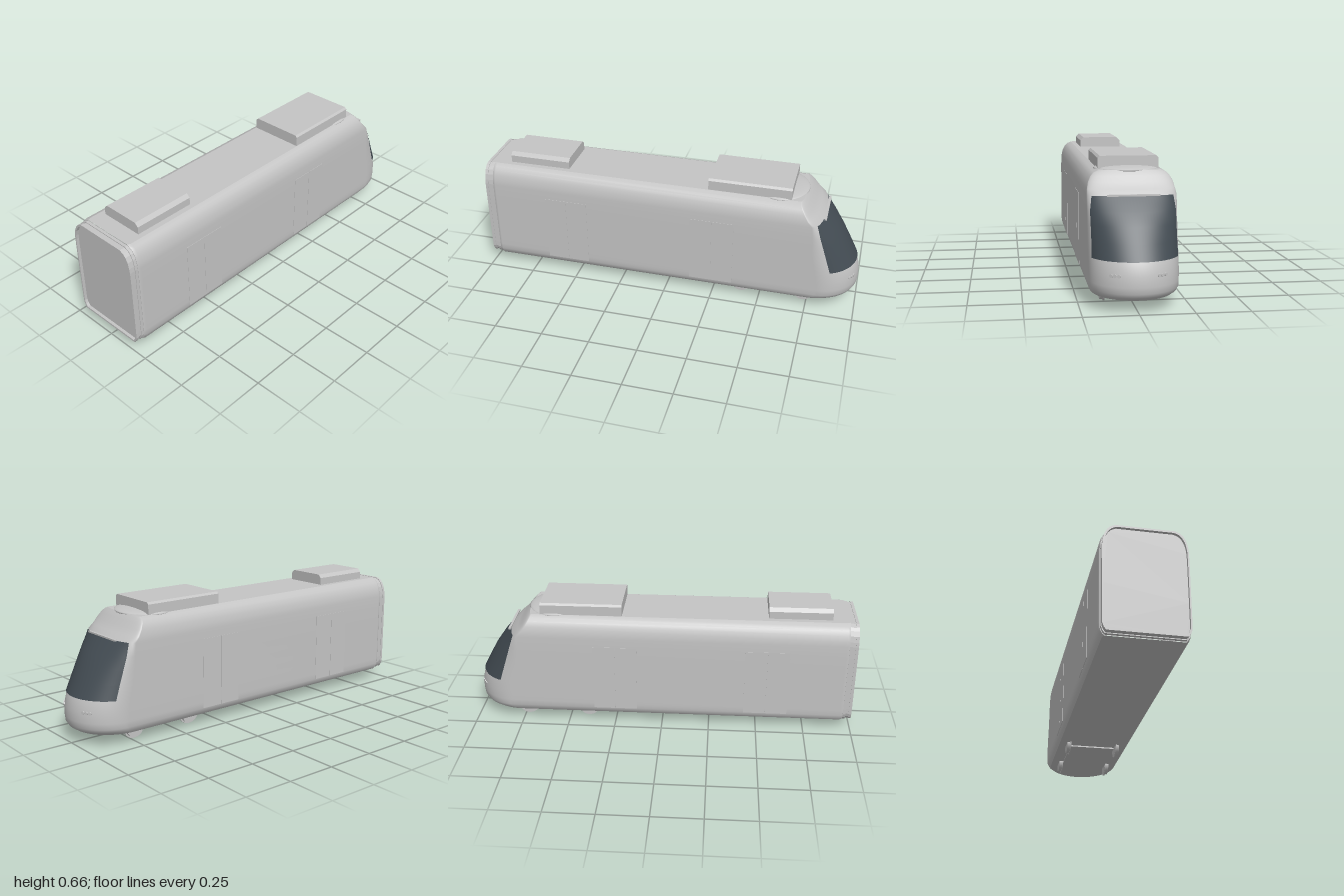
import * as THREE from 'three';

const paint = new THREE.MeshStandardMaterial({ color: 0xc4c4c4 });
paint.name = 'greyPaint';
const glass = new THREE.MeshStandardMaterial({ color: 0x434c53 });
glass.name = 'darkGlass';

// Horizontal sections of the shell: height, half width, nose reach, depth of nose curve
const ROWS = [
  [0.055, 0.188, 0.962, 0.2], [0.07, 0.199, 0.985, 0.2], [0.09, 0.206, 0.997, 0.2],
  [0.12, 0.207, 1.0, 0.2], [0.17, 0.207, 0.998, 0.2], [0.23, 0.207, 0.982, 0.195],
  [0.3, 0.207, 0.945, 0.175], [0.37, 0.207, 0.905, 0.145], [0.43, 0.207, 0.862, 0.105],
  [0.495, 0.206, 0.805, 0.055], [0.52, 0.203, 0.772, 0.045], [0.55, 0.196, 0.744, 0.035],
  [0.575, 0.183, 0.724, 0.03], [0.59, 0.168, 0.71, 0.025], [0.6, 0.145, 0.7, 0.02],
];
const BACK = 0.955;

// Point on the nose at a section and angle, pushed outwards by off
function nosePoint([y, w, reach, depth], a, off = 0) {
  return [(w + off) * Math.sin(a), y, depth - reach - (depth + off) * Math.cos(a)];
}

// Smooth sheet through a grid of points
function sheet(rows, cols, point) {
  const pos = [], idx = [];
  for (let j = 0; j <= rows; j++)
    for (let i = 0; i <= cols; i++) pos.push(...point(i, j));
  for (let j = 0; j < rows; j++)
    for (let i = 0; i < cols; i++) {
      const a = j * (cols + 1) + i, b = a + cols + 1;
      idx.push(a, a + 1, b, a + 1, b + 1, b);
    }
  return finish(pos, idx);
}

function finish(pos, idx) {
  const g = new THREE.BufferGeometry();
  g.setAttribute('position', new THREE.Float32BufferAttribute(pos, 3));
  g.setIndex(idx);
  g.computeVertexNormals();
  return g;
}

const N = 40;
// Outline running from the left rear, round the nose, to the right rear
function outlinePoint(row, i) {
  if (i === 0 || i === N + 4) return [(i ? -1 : 1) * (row[1] - 0.008), row[0], BACK];
  if (i === 1 || i === N + 3) return [(i > 1 ? -1 : 1) * row[1], row[0], 0.94];
  return nosePoint(row, Math.PI / 2 - ((i - 2) / N) * Math.PI);
}

// Flat cap over one outline
function cap(row, up) {
  const pos = [0, row[0], 0], idx = [], n = N + 5;
  for (let i = 0; i < n; i++) {
    pos.push(...outlinePoint(row, i));
    const a = i + 1, b = ((i + 1) % n) + 1;
    idx.push(0, up ? a : b, up ? b : a);
  }
  return finish(pos, idx);
}

// Rear cross-section, shrunk by s about its middle
function sectionPoints(s) {
  const mid = 0.328;
  const right = ROWS.map(([y, w]) => new THREE.Vector2((w - 0.004) * s, mid + (y - mid) * s));
  const left = right.map((p) => new THREE.Vector2(-p.x, p.y)).reverse();
  return [...right, ...left];
}

// Roof box with chamfered long edges
function roofUnit(halfWidth, y0, y1, z0, z1, c) {
  const s = new THREE.Shape([
    [-halfWidth, y0], [halfWidth, y0], [halfWidth, y1 - c],
    [halfWidth - c, y1], [c - halfWidth, y1], [-halfWidth, y1 - c],
  ].map(([x, y]) => new THREE.Vector2(x, y)));
  return new THREE.ExtrudeGeometry(s, { depth: z1 - z0, bevelEnabled: false }).translate(0, 0, z0);
}

export function createModel() {
  const model = new THREE.Group();
  model.name = 'tramCar';
  const add = (name, geo, mat = paint, x = 0, y = 0, z = 0) => {
    const m = new THREE.Mesh(geo, mat);
    m.name = name;
    m.position.set(x, y, z);
    model.add(m);
    return m;
  };

  // Shell
  add('bodyShell', sheet(ROWS.length - 1, N + 4, (i, j) => outlinePoint(ROWS[j], i)));
  add('roof', cap(ROWS[ROWS.length - 1], true));
  add('floor', cap(ROWS[0], false));
  add('rearWall', new THREE.ShapeGeometry(new THREE.Shape(sectionPoints(0.995))), paint, 0, 0, BACK);

  // Stepped gangway frame around the open end, with a recessed panel
  [0.985, 0.97, 0.98].forEach((s, k) => {
    const ring = new THREE.Shape(sectionPoints(s));
    ring.holes.push(new THREE.Path(sectionPoints(0.945)));
    add('gangwayRing', new THREE.ExtrudeGeometry(ring, { depth: 0.015, bevelEnabled: false }),
      paint, 0, 0, BACK + k * 0.015);
  });
  add('gangwayPanel', new THREE.ShapeGeometry(new THREE.Shape(sectionPoints(0.95))), paint, 0, 0, 0.985);

  // Windscreen wrapped round the nose, its side edges raked
  const screenRows = ROWS.slice(5, 10);
  add('windscreen', sheet(screenRows.length - 1, 32, (i, j) => {
    const row = screenRows[j], [y, , reach, depth] = row;
    const edge = 0.86 - ((y - 0.23) / 0.265) * 0.085;
    const limit = Math.acos((edge - reach + depth) / depth);
    return nosePoint(row, limit * (1 - i / 16), 0.003);
  }), glass);
  add('wiperBar', new THREE.BoxGeometry(0.24, 0.008, 0.012), paint, 0, 0.498, -0.808);

  // Roof equipment and the fairing under the front unit
  add('frontRoofUnit', roofUnit(0.143, 0.6, 0.66, -0.635, -0.21, 0.01));
  add('rearRoofUnit', roofUnit(0.117, 0.6, 0.656, 0.545, 0.87, 0.018));
  add('roofFairing', new THREE.SphereGeometry(1, 32, 16).scale(0.157, 0.02, 0.14), paint, 0, 0.598, -0.57);

  // Two double doors on each side
  for (const side of [-1, 1])
    for (const middle of [-0.245, 0.545])
      for (const leaf of [-1, 1])
        add('doorLeaf', new THREE.BoxGeometry(0.004, 0.36, 0.113), paint,
          side * 0.2065, 0.27, middle + leaf * 0.0575);

  // Clusters of three lamps on the nose
  for (const side of [-1, 1])
    for (const a of [0.44, 0.53, 0.62]) {
      const lamp = add('headlamp', new THREE.CylinderGeometry(0.008, 0.008, 0.008, 16).rotateX(Math.PI / 2),
        paint, ...nosePoint(ROWS[4], side * a));
      lamp.rotation.y = Math.PI - side * a;
    }

  // Wheels with inner flanges, and the bogie plate between them
  for (const z of [-0.4, -0.73])
    for (const side of [-1, 1]) {
      add('wheel', new THREE.CylinderGeometry(0.047, 0.047, 0.022, 32).rotateZ(Math.PI / 2),
        paint, side * 0.137, 0.055, z);
      add('wheelFlange', new THREE.CylinderGeometry(0.055, 0.055, 0.007, 32).rotateZ(Math.PI / 2),
        paint, side * 0.13, 0.055, z);
    }
  add('bogiePlate', new THREE.BoxGeometry(0.25, 0.01, 0.33), paint, 0, 0.053, -0.565);

  return model;
}
